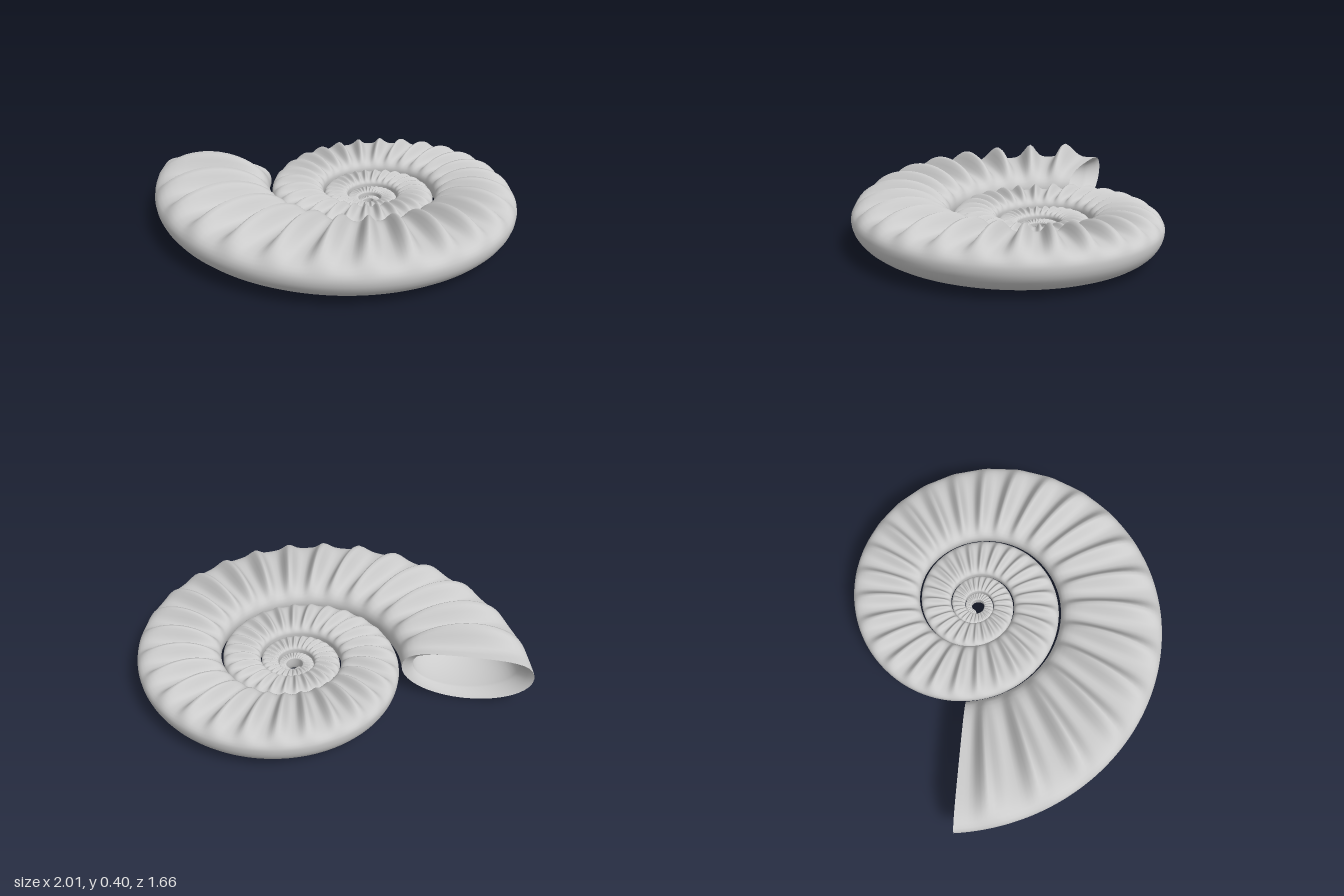
import * as THREE from 'three';

const TURNS = 4, GROWTH = 2.225;         // whorls, radius growth per turn
const MOUTH = 212, START = MOUTH - 360 * TURNS; // degrees around the coil
const RIB_STEP = 13.25, RIB_PEAK = 203;  // degrees between ribs, one crest
const SIDES = 40;
const AXIS_X = 0.199, AXIS_Z = -0.156;

const radiusAt = (t) => 1.28 * GROWTH ** ((t - MOUTH) / 360);
const heightAt = (t) => 0.181 + 0.02 * (t - MOUTH) / 360; // coil sinks inward

// Rib height from 0 (groove) to 1 (crest); the lip stays in a groove.
function ribAt(t) {
  const phase = (Math.min(t, RIB_PEAK + RIB_STEP / 2) - RIB_PEAK) / RIB_STEP;
  return ((1 + Math.cos(phase * Math.PI * 2)) / 2) ** 1.8;
}

// One cross-section of the coil: ribbed above, smooth and deep below.
function ring(t, scale, rib) {
  const r = radiusAt(t), a = THREE.MathUtils.degToRad(t), points = [];
  const depth = 0.168 * r ** 0.3;
  for (let j = 0; j < SIDES; j++) {
    const v = (j / SIDES) * Math.PI * 2, s = Math.sin(v);
    const out = r * (0.73 + 0.27 * scale * Math.cos(v));
    const up = s > 0 ? r * (0.15 * s + (0.09 * rib - 0.068) * s * s) : depth * s;
    points.push(
      AXIS_X + out * Math.cos(a),
      heightAt(t) + scale * up,
      AXIS_Z + out * Math.sin(a)
    );
  }
  return points;
}

// Skin a row of closed rings.
function loft(rings, name) {
  const index = [];
  for (let i = 0; i < rings.length - 1; i++) {
    for (let j = 0; j < SIDES; j++) {
      const k = (j + 1) % SIDES;
      const a = i * SIDES + j, b = i * SIDES + k;
      const c = a + SIDES, d = b + SIDES;
      index.push(a, b, c, b, d, c);
    }
  }
  const geometry = new THREE.BufferGeometry();
  geometry.setAttribute('position', new THREE.Float32BufferAttribute(rings.flat(), 3));
  geometry.setIndex(index);
  geometry.computeVertexNormals();
  const mesh = new THREE.Mesh(geometry, new THREE.MeshStandardMaterial({ color: 0xcccccc }));
  mesh.name = name;
  return mesh;
}

export function createModel() {
  const model = new THREE.Group();
  model.name = 'spiralShell';

  // Ribbed coil, rounded off at its inner tip
  const outer = [], steps = 1300;
  for (let i = 0; i <= steps; i++) {
    const t = START + ((MOUTH - START) * i) / steps;
    const tip = Math.min(1, (t - START) / 30);
    outer.push(ring(t, Math.sqrt(1 - (1 - tip) ** 2), ribAt(t)));
  }
  model.add(loft(outer, 'coiledShell'));

  // Thick lip and shallow hollow behind the opening
  const inner = [ring(MOUTH, 1, 0), ring(MOUTH - 1, 0.9, 0)];
  for (let i = 0; i <= 20; i++) {
    const u = i / 20;
    inner.push(ring(MOUTH - 3 - 20 * u, 0.82 * Math.sqrt(1 - u * u), 0));
  }
  model.add(loft(inner, 'mouthHollow'));

  return model;
}
